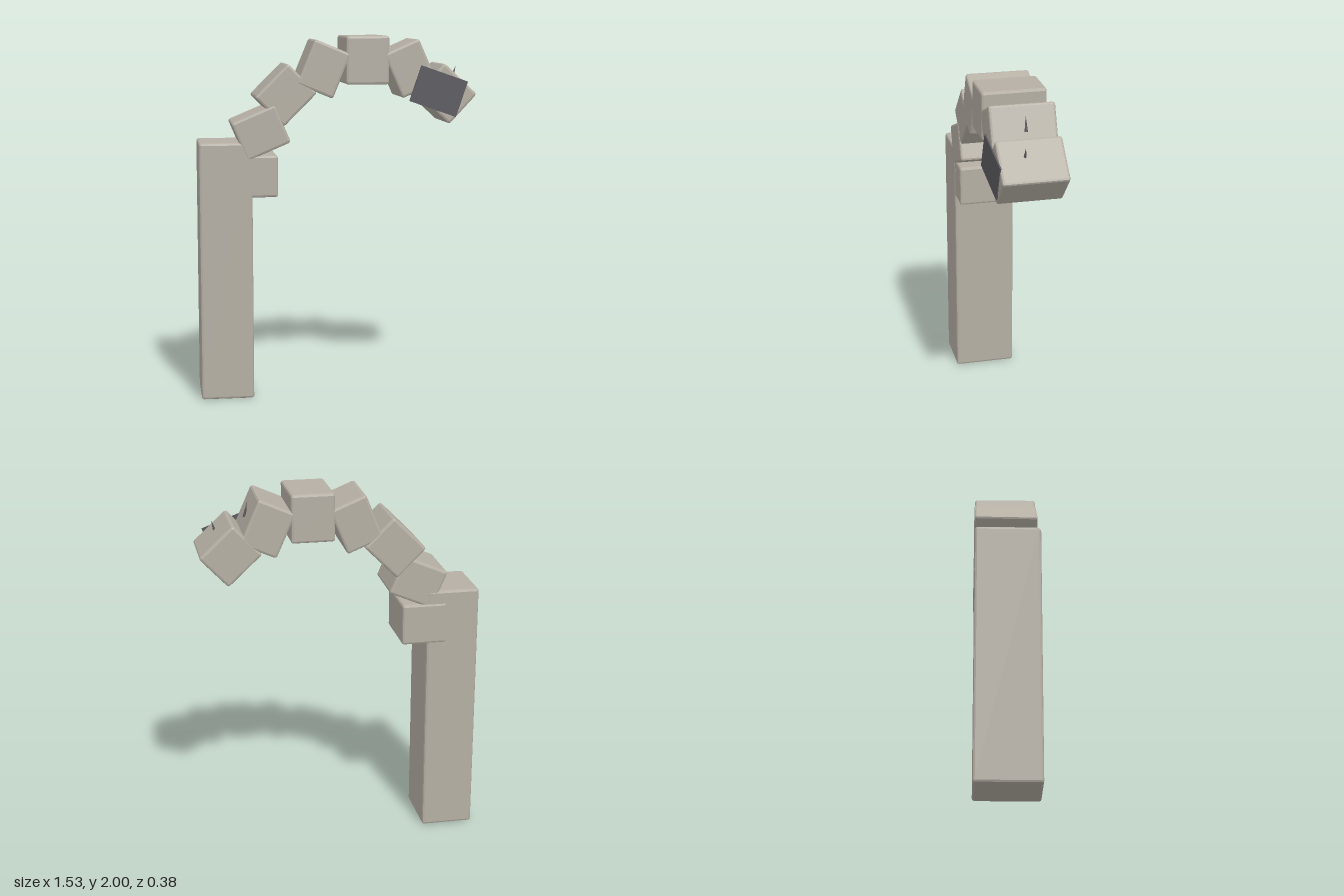
import * as THREE from 'three';
import { RoundedBoxGeometry } from 'three/addons/geometries/RoundedBoxGeometry.js';

const stone = new THREE.MeshStandardMaterial({ color: 0xb5afa4 });
stone.name = 'paleStone';
const slate = new THREE.MeshStandardMaterial({ color: 0x5c5a5f });
slate.name = 'darkSlate';

const DEPTH = 0.35, MID_Z = -0.012;

// Stone block with chamfered, flat-shaded edges
function block(name, w, h, x, y, degrees = 0, zShift = 0, yaw = 0) {
  const geometry = new RoundedBoxGeometry(w, h, DEPTH, 1, 0.013);
  geometry.computeVertexNormals();
  const mesh = new THREE.Mesh(geometry, stone);
  mesh.name = name;
  mesh.position.set(x, y, MID_Z + zShift);
  mesh.rotation.set(0, yaw, THREE.MathUtils.degToRad(degrees));
  return mesh;
}

// Thin pointed splinter standing out of a block
function splinter(name, x, y, z, height, lean) {
  const mesh = new THREE.Mesh(new THREE.ConeGeometry(0.009, height, 4), slate);
  mesh.name = name;
  mesh.position.set(x, y, z);
  mesh.rotation.z = lean;
  return mesh;
}

export function createModel() {
  const group = new THREE.Group();
  group.name = 'brokenArch';

  // Upright pillar and the springer stone set into its inner side
  group.add(block('pillar', 0.29, 1.425, -0.625, 0.7125));
  group.add(block('springer', 0.25, 0.23, -0.465, 1.24, 0, -0.004));

  // Loose arch stones: width, height, x, y, angle, z shift, yaw
  const archStones = [
    [0.26, 0.222, -0.43, 1.478, 23, 0.002, -0.008],
    [0.225, 0.258, -0.295, 1.682, 45, -0.002, 0.008],
    [0.213, 0.262, -0.085, 1.822, -22.5, 0.001, -0.01],
    [0.237, 0.264, 0.153, 1.868, 0, 0, 0.008],
    [0.213, 0.262, 0.393, 1.822, 24, 0, -0.008],
    [0.226, 0.252, 0.594, 1.683, 47, 0, 0.004],
  ];
  // The second and third stones lean towards the missing half from the pillar side
  archStones[1][4] = -45;
  archStones.forEach((s, i) => group.add(block(`archStone${i + 1}`, ...s)));

  // Dark plate hanging on the front of the last stones
  const plate = new THREE.Mesh(new THREE.BoxGeometry(0.28, 0.205, 0.008), slate);
  plate.name = 'darkPlate';
  plate.position.set(0.545, 1.698, 0.174);
  plate.rotation.set(0, 0.075, THREE.MathUtils.degToRad(-19), 'YXZ');
  group.add(plate);

  // Small splinters on top of the last two stones
  group.add(splinter('upperSplinter', 0.489, 1.895, -0.02, 0.085, 0.2));
  group.add(splinter('lowerSplinter', 0.662, 1.802, 0.024, 0.06, -0.3));

  return group;
}
